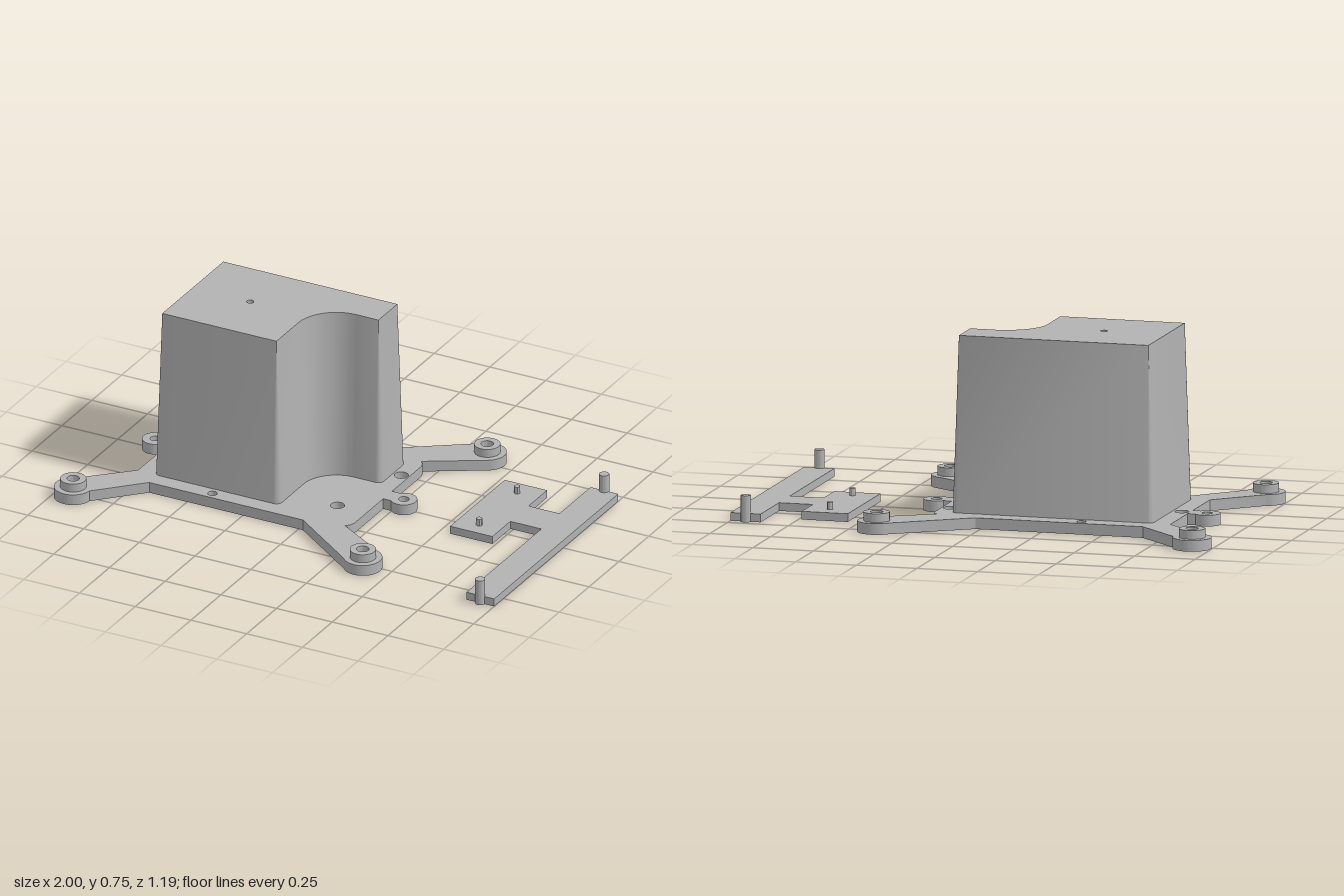
import * as THREE from 'three';
import { toCreasedNormals } from 'three/addons/utils/BufferGeometryUtils.js';

const PLATE = 0.045, TOP = 0.755, BRACKET = 0.033, CREASE = 0.6;
const grey = new THREE.MeshStandardMaterial({ color: 0xb2b2b2 });
grey.name = 'grey plastic';

function add(group, name, geometry) {
  const mesh = new THREE.Mesh(geometry, grey);
  mesh.name = name;
  group.add(mesh);
  return mesh;
}

// Adds round holes, each given as [x, z, radius]
function drill(shape, holes) {
  for (const [x, z, r] of holes) shape.holes.push(new THREE.Path().absarc(x, z, r, 0, Math.PI * 2, true));
  return shape;
}

// Extrudes a shape drawn in (x, z) between two heights
function slab(shape, y0, y1) {
  const g = new THREE.ExtrudeGeometry(shape, { depth: y1 - y0, bevelEnabled: false, curveSegments: 24 });
  return toCreasedNormals(g.rotateX(Math.PI / 2).translate(0, y1, 0), CREASE);
}

function disc(x, z, r) {
  return new THREE.Shape().absarc(x, z, r, 0, Math.PI * 2, false);
}

// Plate outline with four arms and two side lugs, as one closed path
function plateShape() {
  const s = new THREE.Shape();
  const line = (...pts) => pts.forEach(([x, z]) => s.lineTo(x, z));
  const ear = (x, z, r, a, b) => s.absarc(x, z, r, THREE.MathUtils.degToRad(a), THREE.MathUtils.degToRad(b), false);
  s.moveTo(-0.67, -0.36);
  line([0.02, -0.36]);
  ear(0.38, -0.52, 0.077, -142, 58);
  line([0.19, -0.32], [0.205, -0.305], [0.212, -0.28], [0.212, -0.037]);
  ear(0.285, 0, 0.053, -136, 136);
  line([0.212, 0.037], [0.212, 0.275], [0.205, 0.3], [0.19, 0.315]);
  ear(0.38, 0.52, 0.077, -58, 142);
  line([0.02, 0.35], [-0.67, 0.35]);
  ear(-0.92, 0.52, 0.077, 5, 255);
  line([-0.76, 0.275], [-0.76, 0.037]);
  ear(-0.83, 0, 0.053, 44, 316);
  line([-0.76, -0.037], [-0.76, -0.28]);
  ear(-0.92, -0.52, 0.077, 105, 355);
  s.closePath();
  return s;
}

// Tower outline grown outward by o: convex corners round off, the notch arc tightens
function towerOutline(o) {
  const pts = [];
  const arc = (x, z, r, from, to, n) => {
    for (let i = 0; i <= n; i++) {
      const a = THREE.MathUtils.degToRad(from + (to - from) * i / n);
      pts.push(new THREE.Vector2(x + r * Math.cos(a), z + r * Math.sin(a)));
    }
  };
  const corner = (x, z, from) => arc(x, z, o + 0.0005, from, from + 90, 6);
  corner(-0.662, -0.255, 180);
  corner(0.118, -0.255, 270);
  corner(0.118, -0.098, 0);
  arc(0.02, 0.072, 0.17 - o, 270, 180, 20);
  corner(-0.15, 0.255, 0);
  corner(-0.662, 0.255, 90);
  return pts;
}

// Drafted walls between the wide lower outline and the narrow upper one
function towerWalls() {
  const low = towerOutline(0.024), high = towerOutline(0), pos = [];
  low.forEach((a, i) => {
    const j = (i + 1) % low.length, b = low[j], A = high[i], B = high[j];
    pos.push(a.x, PLATE, a.y, A.x, TOP, A.y, b.x, PLATE, b.y);
    pos.push(b.x, PLATE, b.y, A.x, TOP, A.y, B.x, TOP, B.y);
  });
  const g = new THREE.BufferGeometry();
  g.setAttribute('position', new THREE.Float32BufferAttribute(pos, 3));
  g.computeVertexNormals();
  return toCreasedNormals(g, CREASE);
}

export function createModel() {
  const model = new THREE.Group();
  model.name = 'towerMountKit';
  const ears = [[-0.92, -0.52], [0.38, -0.52], [-0.92, 0.52], [0.38, 0.52]];
  const bore = [-0.405, 0, 0.014];

  // Base plate with its screw holes
  const base = new THREE.Group();
  base.name = 'base';
  model.add(base);
  add(base, 'basePlate', slab(drill(plateShape(), [
    ...ears.map(([x, z]) => [x, z, 0.025]),
    [-0.83, 0, 0.021], [0.285, 0, 0.021],
    [-0.725, 0, 0.028], [0.178, -0.178, 0.028], [0.08, 0.173, 0.028],
    [-0.405, -0.32, 0.019], [-0.405, 0.315, 0.019], bore,
  ]), 0, PLATE));

  // Raised ring on every arm end
  for (const [x, z] of ears) {
    add(base, 'screwBoss', slab(drill(disc(x, z, 0.052), [[x, z, 0.025]]), PLATE, 0.08));
  }

  // Tower with a rounded notch and a narrow vertical bore
  const tower = new THREE.Group();
  tower.name = 'tower';
  model.add(tower);
  add(tower, 'towerWalls', towerWalls());
  add(tower, 'towerTop', slab(drill(new THREE.Shape(towerOutline(0)), [bore]), TOP - 0.005, TOP));
  const boreProfile = [new THREE.Vector2(bore[2], TOP), new THREE.Vector2(bore[2], PLATE)];
  add(tower, 'towerBore', new THREE.LatheGeometry(boreProfile, 24)).position.set(bore[0], 0, bore[1]);

  // Separate bracket: long bar, short bridge and pad
  const bracket = new THREE.Group();
  bracket.name = 'bracket';
  model.add(bracket);
  const outline = [
    [0.547, -0.355], [0.737, -0.355], [0.737, -0.2], [0.876, -0.2], [0.876, -0.46], [1, -0.46],
    [1, 0.577], [0.876, 0.577], [0.876, -0.048], [0.737, -0.048], [0.737, 0.102], [0.547, 0.102],
  ].map(([x, z]) => new THREE.Vector2(x, z));
  add(bracket, 'bracketPlate', slab(new THREE.Shape(outline), 0, BRACKET));

  // Pegs on the bar ends and on the pad
  for (const z of [-0.46, 0.577]) add(bracket, 'barPeg', slab(disc(0.937, z, 0.02), 0, 0.107));
  for (const z of [-0.28, 0.037]) add(bracket, 'padPeg', slab(disc(0.643, z, 0.012), BRACKET, 0.063));

  return model;
}
